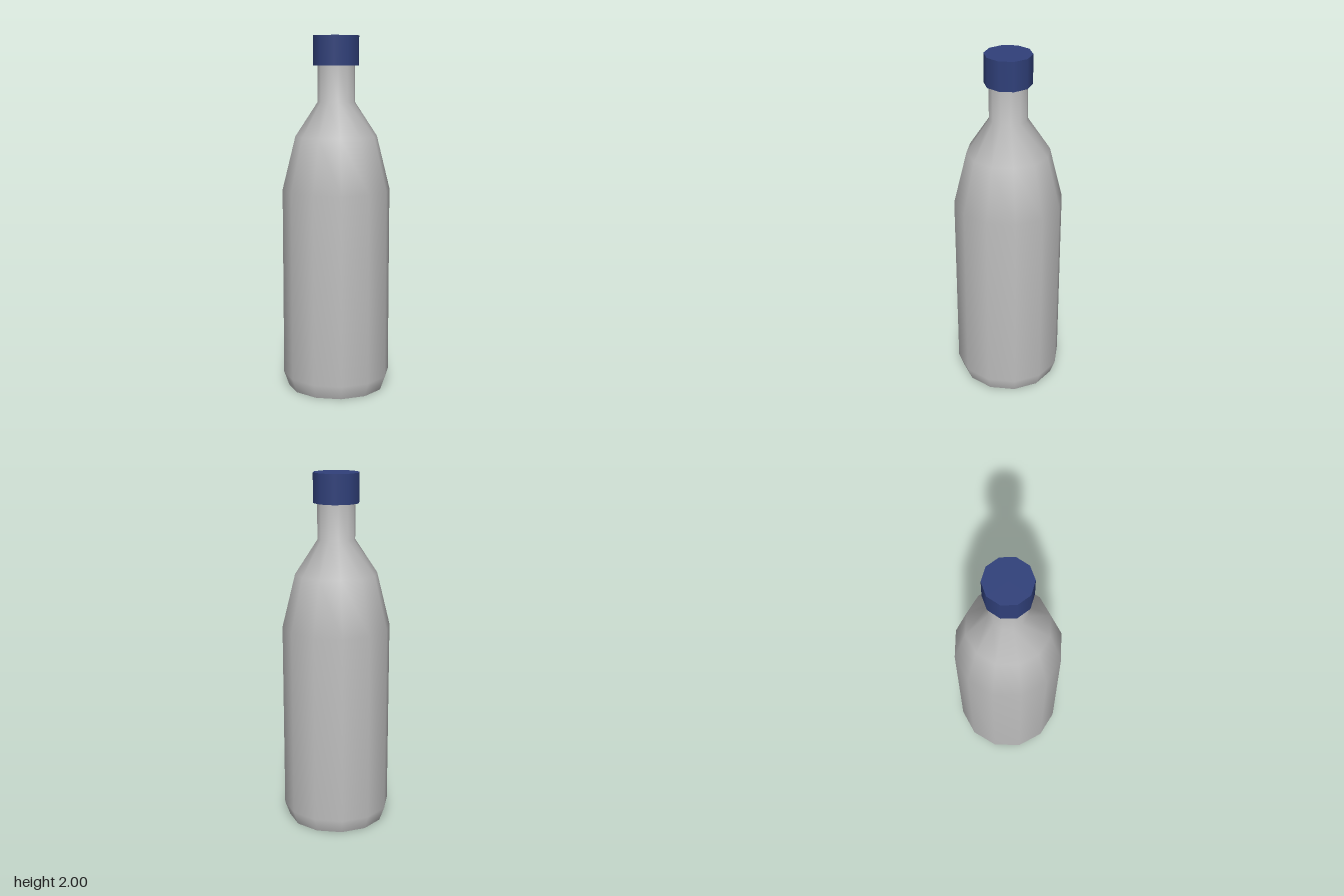
import * as THREE from 'three';

export function createModel() {
  const model = new THREE.Group();
  const bodyGrey = new THREE.MeshStandardMaterial({ color: 0xbebebe });
  bodyGrey.name = 'bodyGrey';
  const capBlue = new THREE.MeshStandardMaterial({ color: 0x30407a });
  capBlue.name = 'capBlue';

  const add = (name, geometry, material, y = 0) => {
    const mesh = new THREE.Mesh(geometry, material);
    mesh.name = name;
    mesh.position.y = y;
    model.add(mesh);
    return mesh;
  };

  // Twelve-sided smooth body: chamfered foot, straight wall, shoulder, neck
  const profile = [
    [0.275, 0], [0.304, 0.08], [0.304, 1.145],
    [0.23, 1.445], [0.105, 1.635], [0.105, 1.9],
  ].map(([r, y]) => new THREE.Vector2(r, y));
  add('bottleBody', new THREE.LatheGeometry(profile, 12), bodyGrey);

  // Flat underside
  const base = add('bottleBase', new THREE.CircleGeometry(0.275, 12), bodyGrey);
  base.rotation.x = Math.PI / 2;

  // Ten-sided cap with corners on the x axis
  add('cap', new THREE.CylinderGeometry(0.13, 0.13, 0.164, 10, 1, false, Math.PI / 2), capBlue, 1.918);

  return model;
}
